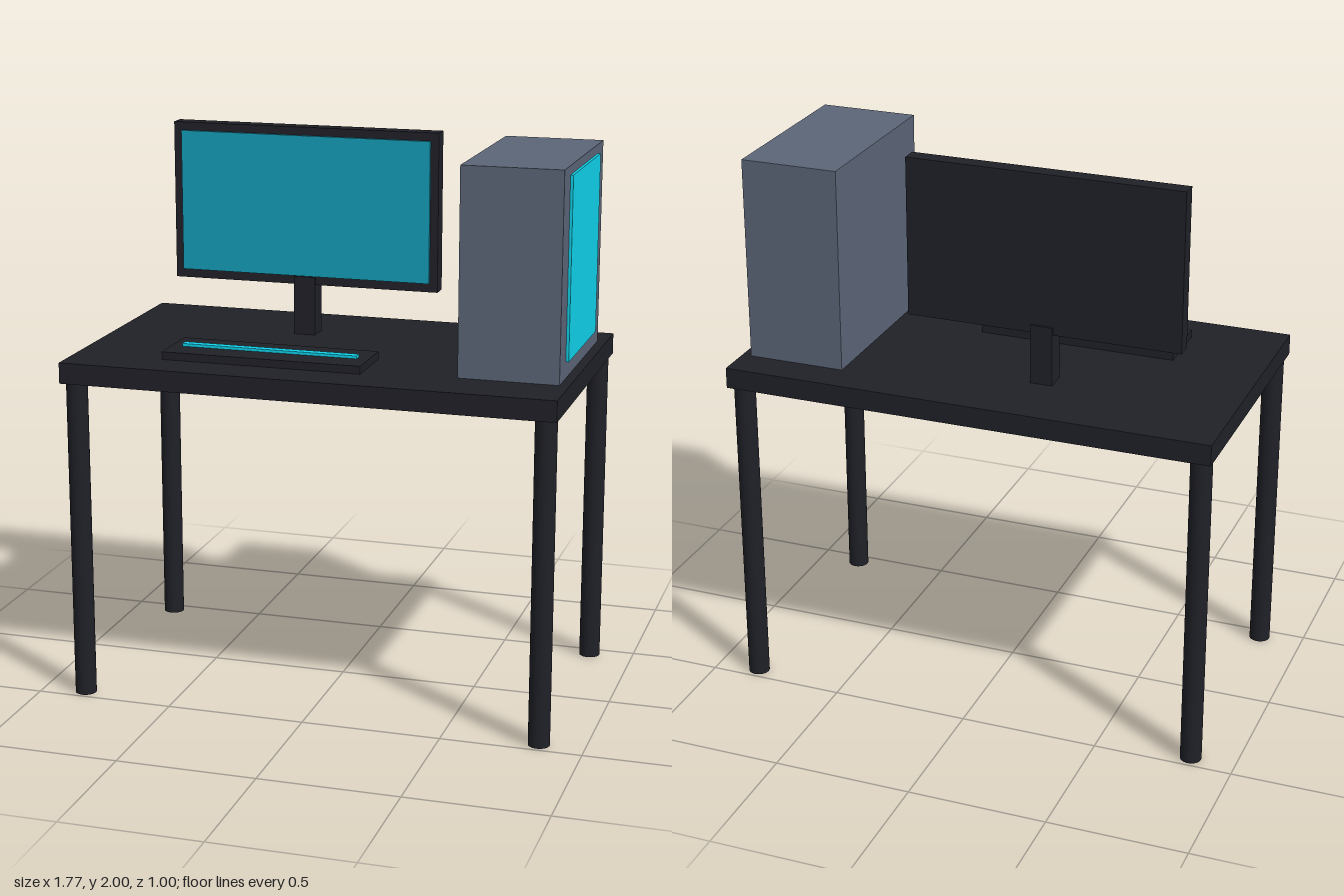
import * as THREE from 'three';

const paint = (color) => new THREE.MeshStandardMaterial({ color });

export function createModel() {
  const model = new THREE.Group();
  const dark = paint(0x202128);
  const slate = paint(0x5c6678);
  const cyan = paint(0x10d4ec);
  const screenBlue = paint(0x16a0ba);

  // Box spanning the given [min, max] ranges
  function box(parent, name, material, [x0, x1], [y0, y1], [z0, z1]) {
    const mesh = new THREE.Mesh(new THREE.BoxGeometry(x1 - x0, y1 - y0, z1 - z0), material);
    mesh.position.set((x0 + x1) / 2, (y0 + y1) / 2, (z0 + z1) / 2);
    mesh.name = name;
    parent.add(mesh);
  }

  function group(name) {
    const g = new THREE.Group();
    g.name = name;
    model.add(g);
    return g;
  }

  // Desk: top on four round legs
  const desk = group('desk');
  box(desk, 'deskTop', dark, [-0.885, 0.885], [1.165, 1.24], [-0.5, 0.5]);
  const legGeometry = new THREE.CylinderGeometry(0.038, 0.038, 1.165, 32);
  for (const sx of [-1, 1]) {
    for (const sz of [-1, 1]) {
      const leg = new THREE.Mesh(legGeometry, dark);
      leg.name = `${sz > 0 ? 'front' : 'back'}${sx > 0 ? 'Left' : 'Right'}Leg`;
      leg.position.set(sx * 0.84, 1.165 / 2, sz * 0.45);
      desk.add(leg);
    }
  }

  // Monitor with a square post
  const monitor = group('monitor');
  box(monitor, 'monitorBody', dark, [-0.693, 0.303], [1.425, 2], [-0.227, -0.167]);
  box(monitor, 'screen', screenBlue, [-0.663, 0.273], [1.457, 1.97], [-0.175, -0.158]);
  box(monitor, 'monitorStand', dark, [-0.235, -0.155], [1.24, 1.455], [-0.237, -0.157]);

  // Keyboard with a light strip
  const keyboard = group('keyboard');
  box(keyboard, 'keyboardBody', dark, [-0.558, 0.167], [1.24, 1.268], [0.125, 0.35]);
  box(keyboard, 'keyboardLight', cyan, [-0.518, 0.125], [1.262, 1.278], [0.222, 0.252]);

  // Computer case with a glowing side panel
  const computer = group('computer');
  box(computer, 'computerCase', slate, [0.498, 0.851], [1.24, 1.97], [-0.37, 0.303]);
  box(computer, 'sidePanel', cyan, [0.842, 0.861], [1.298, 1.938], [-0.273, 0.205]);

  return model;
}
